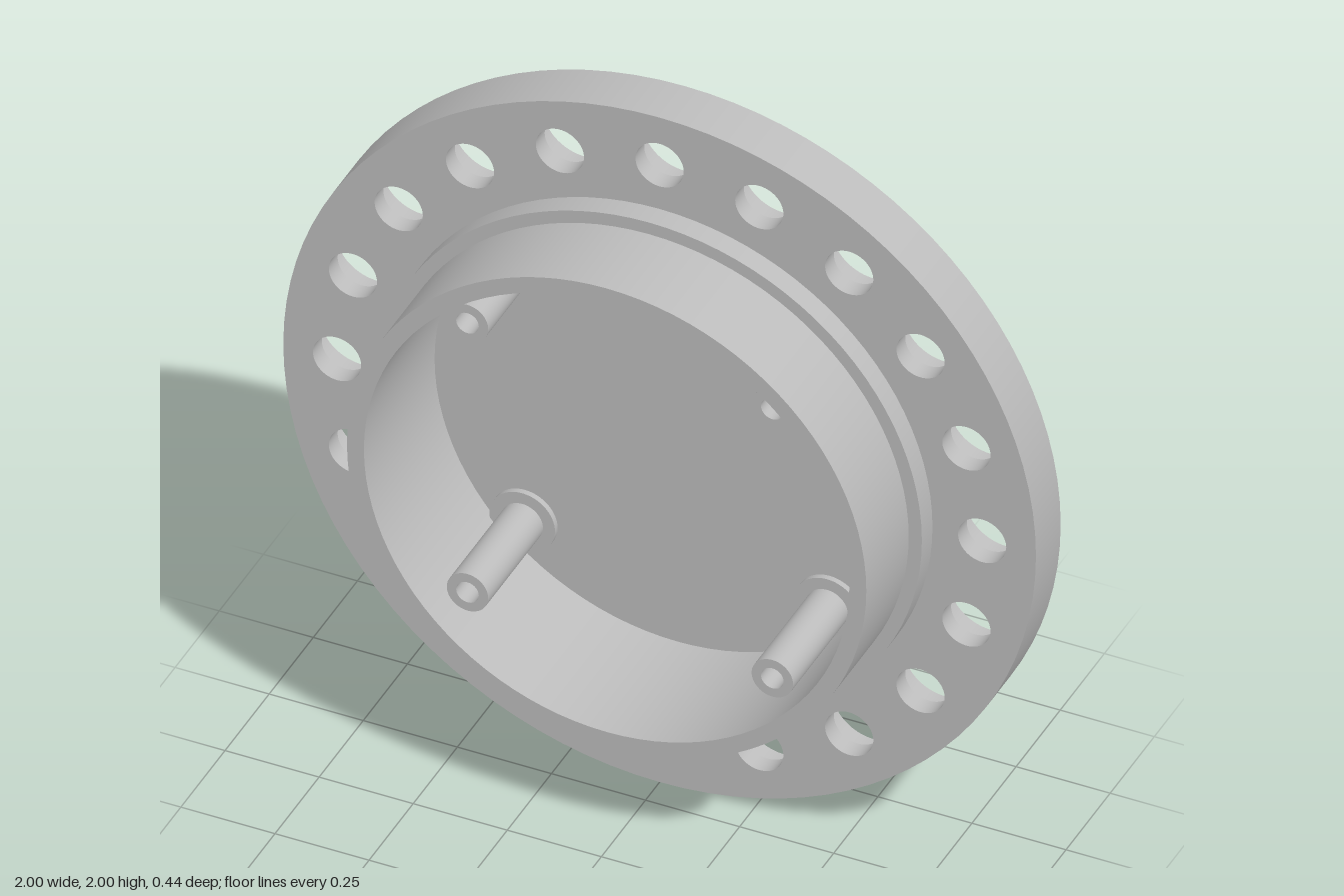
import * as THREE from 'three';
import { mergeGeometries } from 'three/addons/utils/BufferGeometryUtils.js';

const SEGMENTS = 96;
const HOLES = 20, HOLE_RING = 0.857, HOLE_R = 0.064, BORE_R = 0.112;
const BACK = -0.22, FLANGE_FRONT = -0.08, LEDGE = -0.13, FLOOR = -0.18, RIM = 0.22;

// Revolves a [radius, z] profile about the z axis, keeping each corner sharp
function turned(profile) {
  const bands = [];
  for (let i = 0; i < profile.length - 1; i++) {
    const points = [profile[i], profile[i + 1]].map(([r, z]) => new THREE.Vector2(r, z));
    bands.push(new THREE.LatheGeometry(points, SEGMENTS));
  }
  return mergeGeometries(bands).rotateX(Math.PI / 2);
}

function holeCentres() {
  return Array.from({ length: HOLES }, (_, i) => {
    const a = (i / HOLES) * Math.PI * 2;
    return [Math.cos(a) * HOLE_RING, Math.sin(a) * HOLE_RING];
  });
}

// Flat disc pierced by the ring of holes and, optionally, a central opening
function piercedDisc(holeRadius, innerRadius) {
  const shape = new THREE.Shape().absarc(0, 0, 1, 0, Math.PI * 2);
  const cut = (x, y, r) => shape.holes.push(new THREE.Path().absarc(x, y, r, 0, Math.PI * 2, true));
  holeCentres().forEach(([x, y]) => cut(x, y, holeRadius));
  if (innerRadius) cut(0, 0, innerRadius);
  return new THREE.ShapeGeometry(shape, SEGMENTS / 2);
}

export function createModel() {
  const model = new THREE.Group();
  const grey = new THREE.MeshStandardMaterial({ color: 0xbcbcbc });
  grey.name = 'grey metal';

  const add = (name, geometry, x = 0, y = 0, z = 0) => {
    const mesh = new THREE.Mesh(geometry, grey);
    mesh.name = name;
    mesh.position.set(x, y + 1, z);
    model.add(mesh);
  };

  // Flange: front face, back face and outer edge
  add('flangeFront', piercedDisc(HOLE_R, 0.725), 0, 0, FLANGE_FRONT);
  add('flangeBack', piercedDisc(BORE_R).rotateY(Math.PI), 0, 0, BACK);
  add('flangeEdge', turned([[1, BACK], [1, FLANGE_FRONT]]));

  // Counterbored bolt holes, wide at the back
  const bore = turned([[HOLE_R, FLANGE_FRONT], [HOLE_R, LEDGE], [BORE_R, LEDGE], [BORE_R, BACK]]);
  holeCentres().forEach(([x, y]) => add('boltHole', bore, x, y));

  // Stepped collar, cup wall and recessed floor
  add('cup', turned([
    [0.725, FLANGE_FRONT], [0.725, -0.02], [0.69, -0.02], [0.69, RIM],
    [0.645, RIM], [0.645, FLOOR], [0, FLOOR],
  ]));

  // Four hollow posts on low round bosses
  const post = turned([
    [0.087, FLOOR], [0.087, -0.165], [0.055, -0.165], [0.055, 0.145],
    [0.03, 0.145], [0.03, -0.15], [0, -0.15],
  ]);
  for (const x of [-0.405, 0.405]) {
    for (const y of [-0.405, 0.405]) add('post', post, x, y);
  }
  return model;
}
